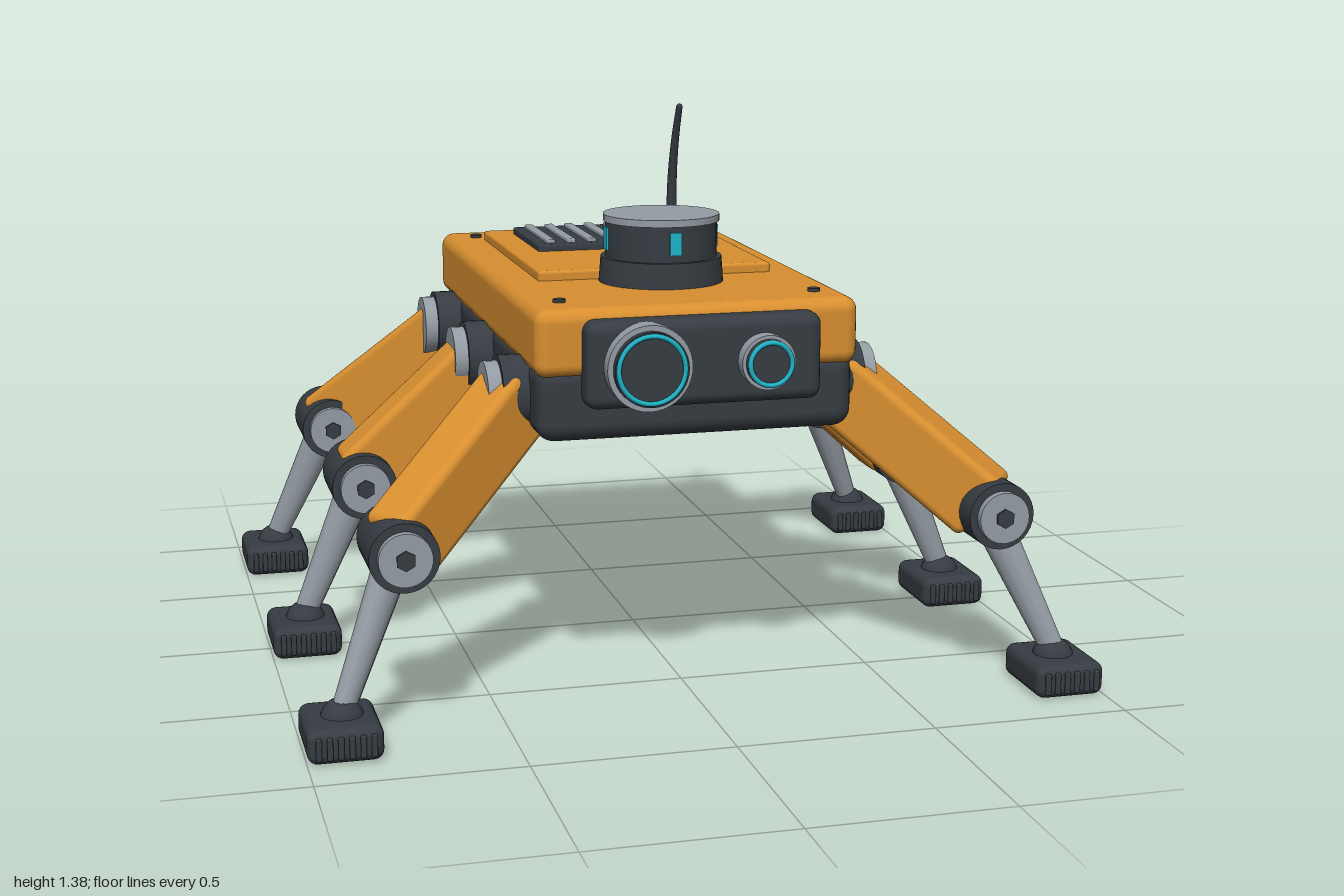
import * as THREE from 'three';
import { RoundedBoxGeometry } from 'three/addons/geometries/RoundedBoxGeometry.js';

const paint = (name, color) => Object.assign(new THREE.MeshStandardMaterial({ color }), { name });

export function createModel() {
  const orange = paint('orange paint', 0xd88f30);
  const dark = paint('dark rubber', 0x363c42);
  const grey = paint('grey metal', 0x949ca4);
  const cyan = paint('cyan glass', 0x1fb5c9);

  const model = new THREE.Group();
  model.name = 'sixLeggedRobot';

  // helpers
  const add = (parent, name, geo, mat, x = 0, y = 0, z = 0) => {
    const m = new THREE.Mesh(geo, mat);
    m.name = name;
    m.position.set(x, y, z);
    parent.add(m);
    return m;
  };
  const box = (w, h, d, r = 0.02) => new RoundedBoxGeometry(w, h, d, 3, r);
  const cyl = (r, h, axis = 'y', sides = 32, rTop = r) => {
    const g = new THREE.CylinderGeometry(rTop, r, h, sides);
    if (axis === 'x') g.rotateZ(-Math.PI / 2);
    if (axis === 'z') g.rotateX(Math.PI / 2);
    return g;
  };

  // body shells
  const body = new THREE.Group();
  body.name = 'body';
  model.add(body);
  add(body, 'upperShell', box(0.815, 0.17, 1.345, 0.035), orange, 0, 0.92, -0.008);
  add(body, 'lowerHull', box(0.8, 0.19, 1.32, 0.045), dark, 0, 0.77, -0.003);
  add(body, 'topHatch', box(0.62, 0.04, 0.75, 0.008), orange, 0, 1.01, -0.135);
  add(body, 'rearPanel', box(0.62, 0.115, 0.03, 0.008), orange, 0, 0.848, -0.683);
  for (const x of [-0.325, 0.325]) for (const z of [-0.555, 0.55])
    add(body, 'cornerBolt', cyl(0.016, 0.02, 'y', 12), dark, x, 1.003, z);

  // vent with slats
  add(body, 'ventFrame', box(0.48, 0.03, 0.35, 0.006), dark, 0, 1.033, -0.26);
  for (let i = 0; i < 8; i++)
    add(body, 'ventSlat', box(0.024, 0.016, 0.3, 0.004), grey, -0.2 + i * 0.0571, 1.05, -0.26);

  // rotating scanner
  const scanner = new THREE.Group();
  scanner.name = 'scanner';
  scanner.position.z = 0.29;
  model.add(scanner);
  add(scanner, 'scannerBase', cyl(0.16, 0.065, 'y', 40, 0.155), dark, 0, 1.037, 0);
  add(scanner, 'scannerDrum', cyl(0.143, 0.1, 'y', 40), dark, 0, 1.115, 0);
  add(scanner, 'scannerCap', cyl(0.149, 0.018, 'y', 40), grey, 0, 1.169, 0);
  for (let i = 0; i < 4; i++) {
    const a = i * Math.PI / 2;
    add(scanner, 'scannerWindow', new THREE.BoxGeometry(0.03, 0.058, 0.008), cyan,
      Math.sin(a) * 0.143, 1.117, Math.cos(a) * 0.143).rotation.y = a;
  }

  // antenna: a curved rod that thins towards its tip
  const rodCurve = new THREE.CatmullRomCurve3([
    [0.25, 1.06, -0.522], [0.25, 1.17, -0.515], [0.252, 1.28, -0.492], [0.255, 1.375, -0.459],
  ].map(p => new THREE.Vector3(...p)));
  const rod = new THREE.TubeGeometry(rodCurve, 20, 0.016, 10, false);
  const pos = rod.attributes.position;
  for (let i = 0; i < pos.count; i++) {
    const t = Math.floor(i / 11) / 20;
    const c = rodCurve.getPointAt(t);
    const p = new THREE.Vector3().fromBufferAttribute(pos, i).sub(c).multiplyScalar(1 - 0.4 * t).add(c);
    pos.setXYZ(i, p.x, p.y, p.z);
  }
  add(model, 'antennaBase', cyl(0.055, 0.06, 'y', 24, 0.052), dark, 0.25, 1.045, -0.515);
  add(model, 'antennaRod', rod, dark);
  add(model, 'antennaTip', new THREE.SphereGeometry(0.0096, 10, 8), dark, 0.255, 1.375, -0.459);

  // face plate and two camera eyes
  add(model, 'facePlate', box(0.59, 0.215, 0.12, 0.03), dark, 0, 0.873, 0.66);
  for (const [x, r] of [[-0.15, 0.105], [0.145, 0.067]]) {
    const eye = new THREE.Group();
    eye.name = 'cameraEye';
    eye.position.set(x, 0.872, 0);
    model.add(eye);
    add(eye, 'eyeBezel', cyl(r, 0.05, 'z', 40), grey, 0, 0, 0.733);
    add(eye, 'eyeBarrel', cyl(r * 0.87, 0.04, 'z', 40), dark, 0, 0, 0.757);
    add(eye, 'eyeRing', new THREE.TorusGeometry(r * 0.78, 0.006, 8, 40), cyan, 0, 0, 0.777);
  }

  // legs
  const between = (mesh, a, b) => {
    mesh.position.copy(a).add(b).multiplyScalar(0.5);
    mesh.lookAt(b);
  };
  for (const side of [1, -1]) for (const k of [1, 0, -1]) {
    const leg = new THREE.Group();
    leg.name = (side > 0 ? 'left' : 'right') + ['Rear', 'Middle', 'Front'][k + 1] + 'Leg';
    leg.position.z = k ? -0.005 : 0;
    const hip = new THREE.Vector3(side * 0.41, 0.762, k * 0.47);
    const knee = new THREE.Vector3(side * 0.75, 0.455, k * 0.683);
    const ankle = new THREE.Vector3(side * 0.905, 0.09, k * 0.78);

    // hip joint
    add(leg, 'hipHub', cyl(0.094, 0.12, 'x'), dark, side * 0.405, 0.77, hip.z);
    add(leg, 'hipDisc', cyl(0.08, 0.04, 'x'), grey, side * 0.48, 0.77, hip.z);

    // thigh
    const thigh = add(leg, 'thigh', box(0.14, 0.18, hip.distanceTo(knee), 0.022), orange);
    between(thigh, hip, knee);

    // knee joint with caps and bolts
    add(leg, 'kneeHub', cyl(0.085, 0.21, 'z'), dark, knee.x, knee.y, knee.z);
    add(leg, 'kneeCaps', cyl(0.065, 0.25, 'z'), grey, knee.x, knee.y, knee.z);
    add(leg, 'kneeBolt', cyl(0.025, 0.262, 'z', 6), dark, knee.x, knee.y, knee.z);

    // shin, tapering to the ankle
    const shinGeo = cyl(0.052, knee.distanceTo(ankle), 'z', 12, 0.031);
    shinGeo.scale(0.8, 1, 1);
    const shin = add(leg, 'shin', shinGeo, grey);
    between(shin, knee, ankle);

    // foot with ribbed toe
    add(leg, 'ankle', new THREE.SphereGeometry(0.053, 24, 16), dark, ankle.x, 0.072, ankle.z);
    add(leg, 'foot', box(0.18, 0.085, 0.225, 0.025), dark, side * 0.909, 0.0425, ankle.z);
    for (let i = 0; i < 6; i++)
      add(leg, 'toeRib', box(0.014, 0.055, 0.02, 0.004), dark,
        side * 0.909 + (i - 2.5) * 0.026, 0.042, ankle.z + 0.11);
    model.add(leg);
  }
  return model;
}
